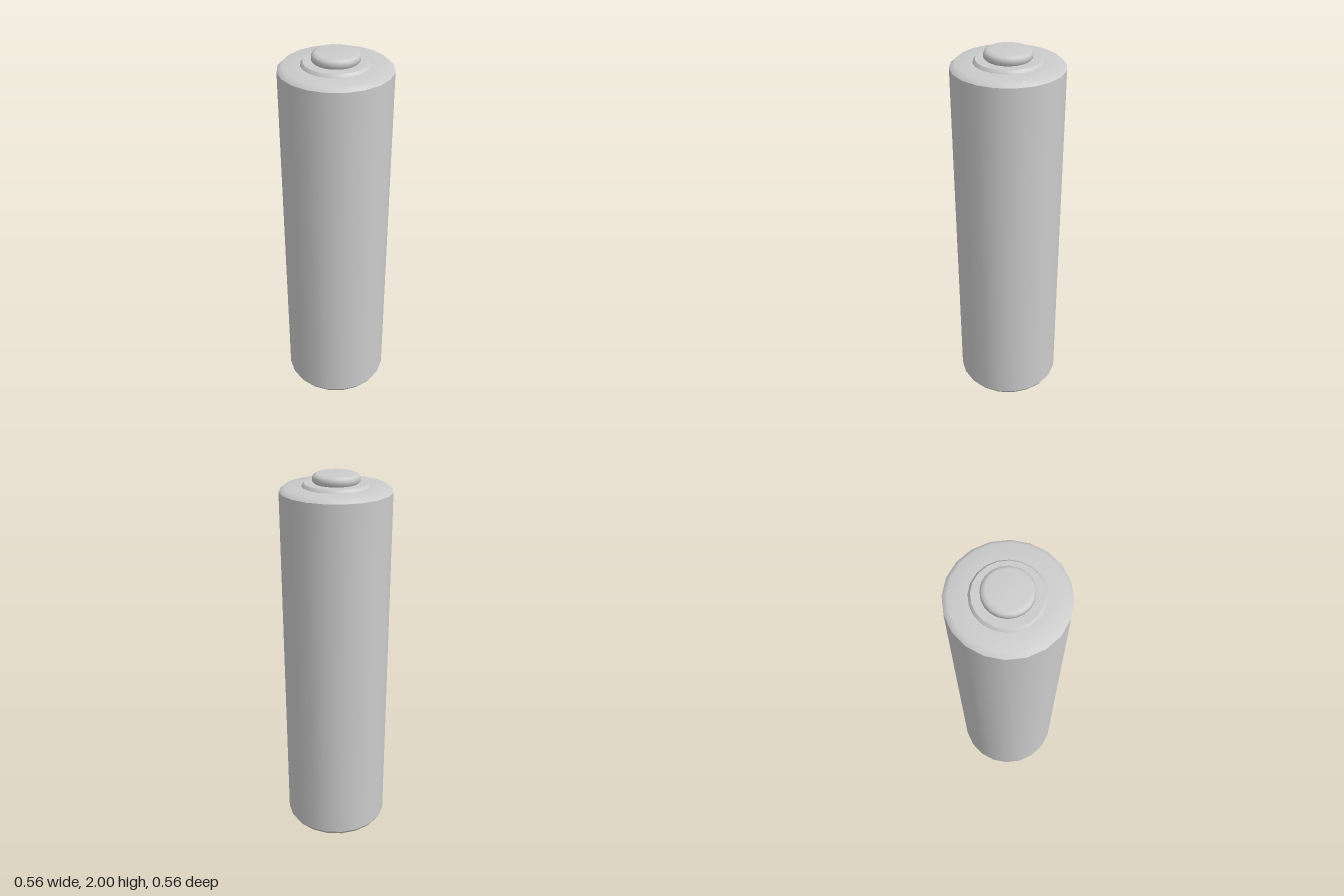
import * as THREE from 'three';

const SIDES = 20;
const material = new THREE.MeshStandardMaterial({ color: 0xcccccc });

// One group per part; each [radius, height] strip is smooth, with a hard edge between strips.
function turnedPart(name, strips) {
  const part = new THREE.Group();
  part.name = name;
  strips.forEach((strip, i) => {
    const points = strip.map(([r, y]) => new THREE.Vector2(r, y));
    const mesh = new THREE.Mesh(new THREE.LatheGeometry(points, SIDES), material);
    mesh.name = `${name}Surface${i + 1}`;
    part.add(mesh);
  });
  return part;
}

export function createModel() {
  const model = new THREE.Group();
  model.name = 'battery';

  // Long casing with a small bevel at both ends
  model.add(turnedPart('casing', [
    [[0, 0.022], [0.268, 0.022]],
    [[0.268, 0.022], [0.28, 0.042]],
    [[0.28, 0.042], [0.28, 1.915]],
    [[0.28, 1.915], [0.255, 1.938], [0.16, 1.938]],
  ]));

  // Flat contact underneath
  model.add(turnedPart('negativeContact', [
    [[0, 0], [0.165, 0]],
    [[0.165, 0], [0.178, 0.008], [0.18, 0.024]],
  ]));

  // Low stepped collar around the button
  model.add(turnedPart('collar', [
    [[0.17, 1.936], [0.168, 1.942], [0.158, 1.953]],
    [[0.158, 1.953], [0.09, 1.953]],
  ]));

  // Rounded button on top
  model.add(turnedPart('positiveButton', [
    [[0.105, 1.95], [0.118, 1.962], [0.118, 1.98], [0.112, 1.992], [0.095, 2], [0, 2]],
  ]));

  return model;
}
